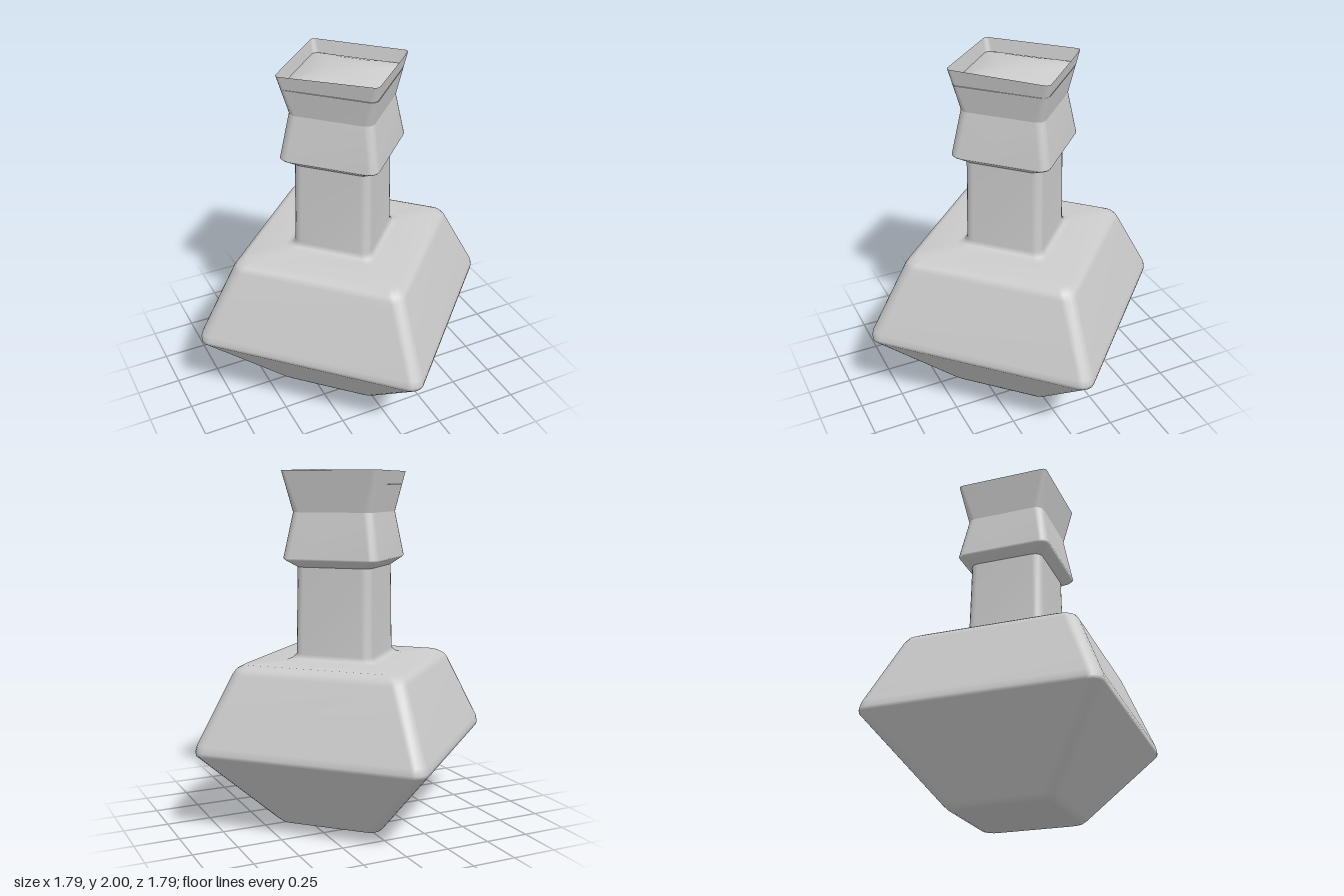
import * as THREE from 'three';

const ARC = 4; // segments per rounded corner

// Rounded square standing on its corner: r is the half diagonal, c the corner radius
function ring(r, c) {
  const rc = Math.min(c, r), pts = [];
  for (let q = 0; q < 4; q++) {
    const mid = q * Math.PI / 2;
    for (let i = 0; i <= ARC; i++) {
      const a = mid + (i / ARC - 0.5) * Math.PI / 2;
      pts.push([(r - rc) * Math.cos(mid) + rc * Math.cos(a), (r - rc) * Math.sin(mid) + rc * Math.sin(a)]);
    }
  }
  return pts;
}

// Skin a list of [halfDiagonal, y, cornerRadius] sections, from bottom to top
function loft(sections, lift = () => 0) {
  const n = 4 * (ARC + 1), pos = [], idx = [];
  for (const [r, y, c] of sections)
    for (const [x, z] of ring(r, c)) pos.push(x, y + lift(y, z), z);
  for (let s = 0; s < sections.length - 1; s++)
    for (let i = 0; i < n; i++) {
      const a = s * n + i, b = s * n + (i + 1) % n;
      idx.push(a, a + n, b, b, a + n, b + n);
    }
  const g = new THREE.BufferGeometry();
  g.setAttribute('position', new THREE.Float32BufferAttribute(pos, 3));
  g.setIndex(idx);
  g.computeVertexNormals();
  return g;
}

export function createModel() {
  const group = new THREE.Group();
  const solid = new THREE.MeshStandardMaterial({ color: 0xcccccc });
  const thin = new THREE.MeshStandardMaterial({ color: 0xcccccc, side: THREE.DoubleSide });
  const add = (name, geometry, material) => {
    const mesh = new THREE.Mesh(geometry, material);
    mesh.name = name;
    group.add(mesh);
  };

  // Bottle: base, belly, shoulder and neck in one smooth skin
  add('bottle', loft([
    [0, 0, 0], [0.36, 0, 0.05], [0.39, 0.008, 0.06], [0.42, 0.03, 0.06],
    [0.893, 0.455, 0.068], [0.895, 0.475, 0.068], [0.885, 0.51, 0.068],
    [0.675, 0.885, 0.068], [0.65, 0.915, 0.068], [0.6, 0.937, 0.06],
    [0.36, 0.942, 0.05], [0.32, 0.952, 0.05], [0.295, 0.975, 0.05], [0.285, 1.47, 0.05],
  ]), solid);

  // Collar around the top of the neck
  add('collar', loft([
    [0.27, 1.455, 0.05], [0.29, 1.462, 0.05], [0.36, 1.5, 0.05], [0.37, 1.51, 0.05], [0.31, 1.76, 0.05],
  ]), solid);

  // Flared lip, its front corner slightly raised
  const lift = (y, z) => (y > 1.98 ? 0.015 * Math.max(0, z) / 0.38 : 0);
  add('lip', loft([[0.31, 1.76, 0.05], [0.38, 1.985, 0.025]], lift), thin);

  // Domed stopper set just below the rim
  add('stopper', loft([
    [0.357, 1.91, 0.04], [0.3, 1.925, 0.06], [0.2, 1.945, 0.09], [0.1, 1.957, 0.08], [0, 1.96, 0],
  ]), solid);

  return group;
}
